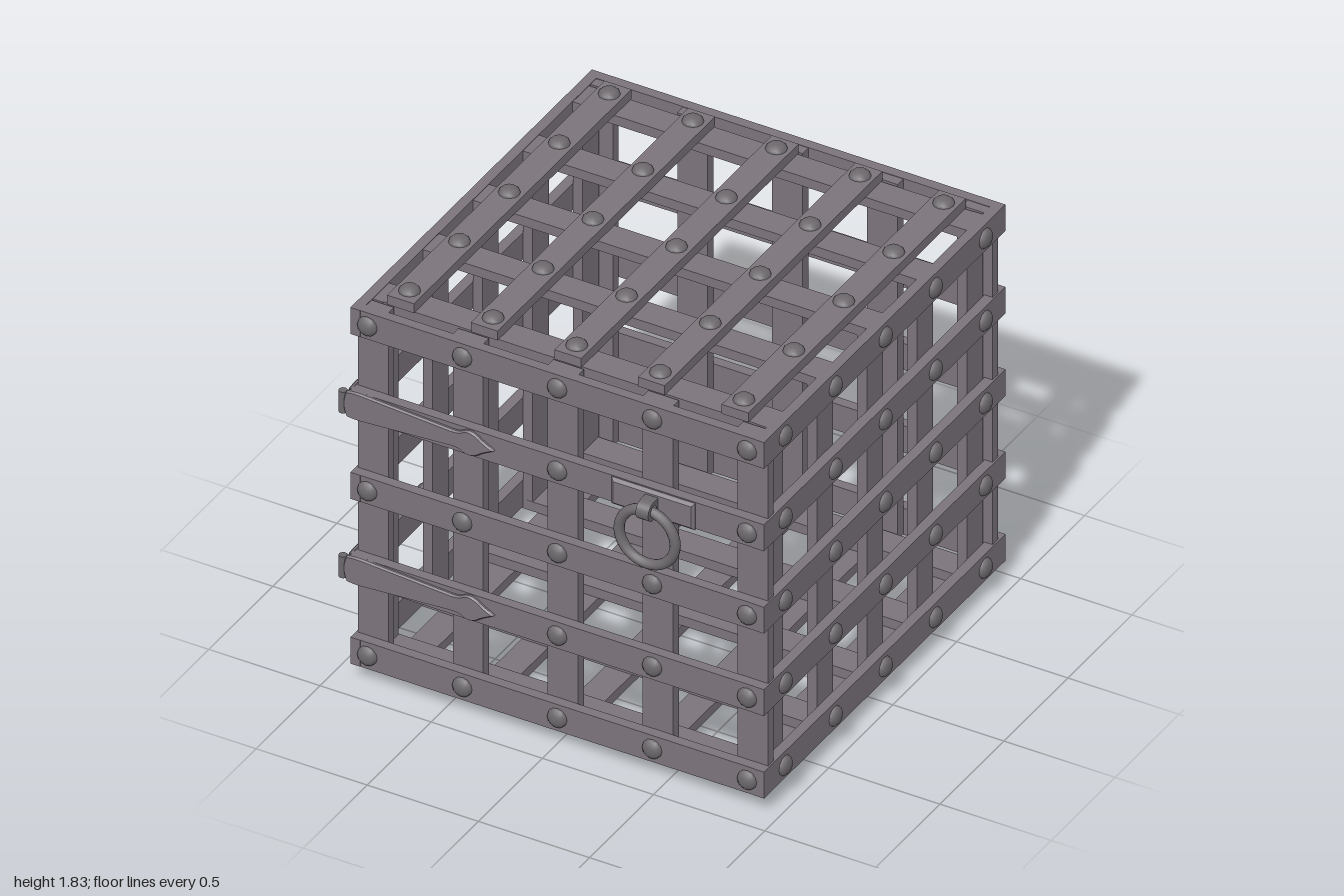
import * as THREE from 'three';

const iron = new THREE.MeshStandardMaterial({ color: 0x7b747b });
iron.name = 'iron bars';
const fittings = new THREE.MeshStandardMaterial({ color: 0x6c686c });
fittings.name = 'iron fittings';

const T = 0.044; // bar thickness
const HALF = Math.PI / 2;

function add(parent, name, geo, mat, x = 0, y = 0, z = 0) {
  const m = new THREE.Mesh(geo, mat);
  m.name = name;
  m.position.set(x, y, z);
  parent.add(m);
  return m;
}

// Domed rivet head pointing along +z
const rivetGeo = new THREE.LatheGeometry(
  [[0.044, 0], [0.041, 0.01], [0.03, 0.02], [0.014, 0.024], [0, 0.025]].map(p => new THREE.Vector2(...p)), 12
).rotateX(HALF);

// Lattice of five rows and five columns; local +z is outward, z = 0 the outer face
function panel(root, o) {
  const g = new THREE.Group();
  g.name = o.name;
  g.position.set(...o.pos);
  g.rotation.set(...o.rot);
  root.add(g);
  const rowZ = o.columnsOutside ? -1.5 * T : -0.5 * T;
  const colZ = -2 * T - rowZ;
  const rowGeo = new THREE.BoxGeometry(o.rowLength, 0.125, T);
  const colGeo = new THREE.BoxGeometry(o.colWidth, o.colLength, T);
  for (let i = 0; i < 5; i++) {
    add(g, 'crossBar', rowGeo, iron, 0, (i - 2) * o.dv, rowZ);
    add(g, 'uprightBar', colGeo, iron, (i - 2) * o.du, 0, colZ);
    for (let j = 0; j < 5; j++) {
      if (o.skip && o.skip(i, j)) continue;
      add(g, 'rivet', rivetGeo, fittings, (i - 2) * o.du, (j - 2) * o.dv, 0);
    }
  }
}

// Tapered hinge strap with a spade tip, running along +x
function strapGeometry() {
  const s = new THREE.Shape();
  s.moveTo(0.012, -0.055);
  s.quadraticCurveTo(0.045, -0.062, 0.09, -0.058);
  s.lineTo(0.48, -0.033);
  s.quadraticCurveTo(0.52, -0.032, 0.535, -0.046);
  s.quadraticCurveTo(0.565, -0.062, 0.6, -0.036);
  s.quadraticCurveTo(0.615, -0.022, 0.662, 0);
  s.quadraticCurveTo(0.615, 0.022, 0.6, 0.036);
  s.quadraticCurveTo(0.565, 0.062, 0.535, 0.046);
  s.quadraticCurveTo(0.52, 0.032, 0.48, 0.033);
  s.lineTo(0.09, 0.058);
  s.quadraticCurveTo(0.045, 0.062, 0.012, 0.055);
  s.quadraticCurveTo(0, 0.03, 0, 0);
  s.quadraticCurveTo(0, -0.03, 0.012, -0.055);
  return new THREE.ExtrudeGeometry(s, {
    depth: 0.008, bevelEnabled: true, bevelThickness: 0.008, bevelSize: 0.006, bevelSegments: 1, curveSegments: 5
  });
}

function ringHandle(root) {
  const g = new THREE.Group();
  g.name = 'ringHandle';
  g.position.set(0.447, 1.307, 0.905);
  root.add(g);
  // Back plate with bevelled rim
  const w = 0.175, h = 0.05;
  const s = new THREE.Shape([[-w, -h], [w, -h], [w, h], [-w, h]].map(p => new THREE.Vector2(...p)));
  add(g, 'ringPlate', new THREE.ExtrudeGeometry(s, {
    depth: 0.004, bevelEnabled: true, bevelThickness: 0.012, bevelSize: 0.013, bevelSegments: 1
  }), iron);
  // Eye: a band curled round the top of the ring and back to the plate
  const e = new THREE.Shape();
  e.moveTo(0, 0.042);
  e.lineTo(0.053, 0.042);
  e.absarc(0.053, 0, 0.042, HALF, -HALF, true);
  e.lineTo(0, -0.042);
  e.closePath();
  const hole = new THREE.Path();
  hole.absarc(0.053, 0, 0.024, 0, Math.PI * 2, true);
  e.holes.push(hole);
  const eye = new THREE.ExtrudeGeometry(e, { depth: 0.057, bevelEnabled: false, curveSegments: 12 });
  eye.translate(0, 0, -0.0285).rotateY(-HALF);
  add(g, 'ringEye', eye, fittings);
  add(g, 'ring', new THREE.TorusGeometry(0.126, 0.022, 12, 40), fittings, 0, -0.128, 0.053);
}

export function createModel() {
  const root = new THREE.Group();
  root.name = 'ironCage';

  // Four walls
  const hinged = j => j === 1 || j === 3;
  const frontBack = { du: 0.427, dv: 0.39, rowLength: 1.86, colLength: 1.68, colWidth: 0.137 };
  const sides = { du: 0.391, dv: 0.39, rowLength: 1.886, colLength: 1.68, colWidth: 0.126 };
  panel(root, { ...frontBack, name: 'frontPanel', pos: [0.012, 0.92, 0.904], rot: [0, 0, 0],
    skip: (i, j) => (hinged(j) && i < 2) || (j === 3 && i === 3) });
  panel(root, { ...frontBack, name: 'backPanel', pos: [0.012, 0.92, -0.982], rot: [0, Math.PI, 0] });
  panel(root, { ...sides, name: 'leftPanel', pos: [0.942, 0.92, -0.038], rot: [0, HALF, 0] });
  panel(root, { ...sides, name: 'rightPanel', pos: [-0.918, 0.92, -0.038], rot: [0, -HALF, 0],
    skip: (i, j) => hinged(j) && i > 2 });

  // Roof and floor
  const flat = { du: 0.376, dv: 0.39, rowLength: 1.79, colLength: 1.7, colWidth: 0.12, columnsOutside: true };
  panel(root, { ...flat, name: 'topPanel', pos: [0.006, 1.804, -0.038], rot: [-HALF, 0, 0] });
  panel(root, { ...flat, name: 'bottomPanel', pos: [0.006, 0.026, -0.038], rot: [HALF, 0, 0] });

  // Two hinges wrapping the front corner
  const strap = strapGeometry();
  const pin = new THREE.CylinderGeometry(0.018, 0.018, 0.1, 12);
  for (const y of [0.53, 1.31]) {
    add(root, 'frontHingeStrap', strap, iron, -0.938, y, 0.904);
    add(root, 'sideHingeStrap', strap, iron, -0.918, y, 0.9).rotation.set(0, -HALF, Math.PI);
    add(root, 'hingePin', pin, fittings, -0.952, y, 0.903);
  }

  ringHandle(root);
  return root;
}
